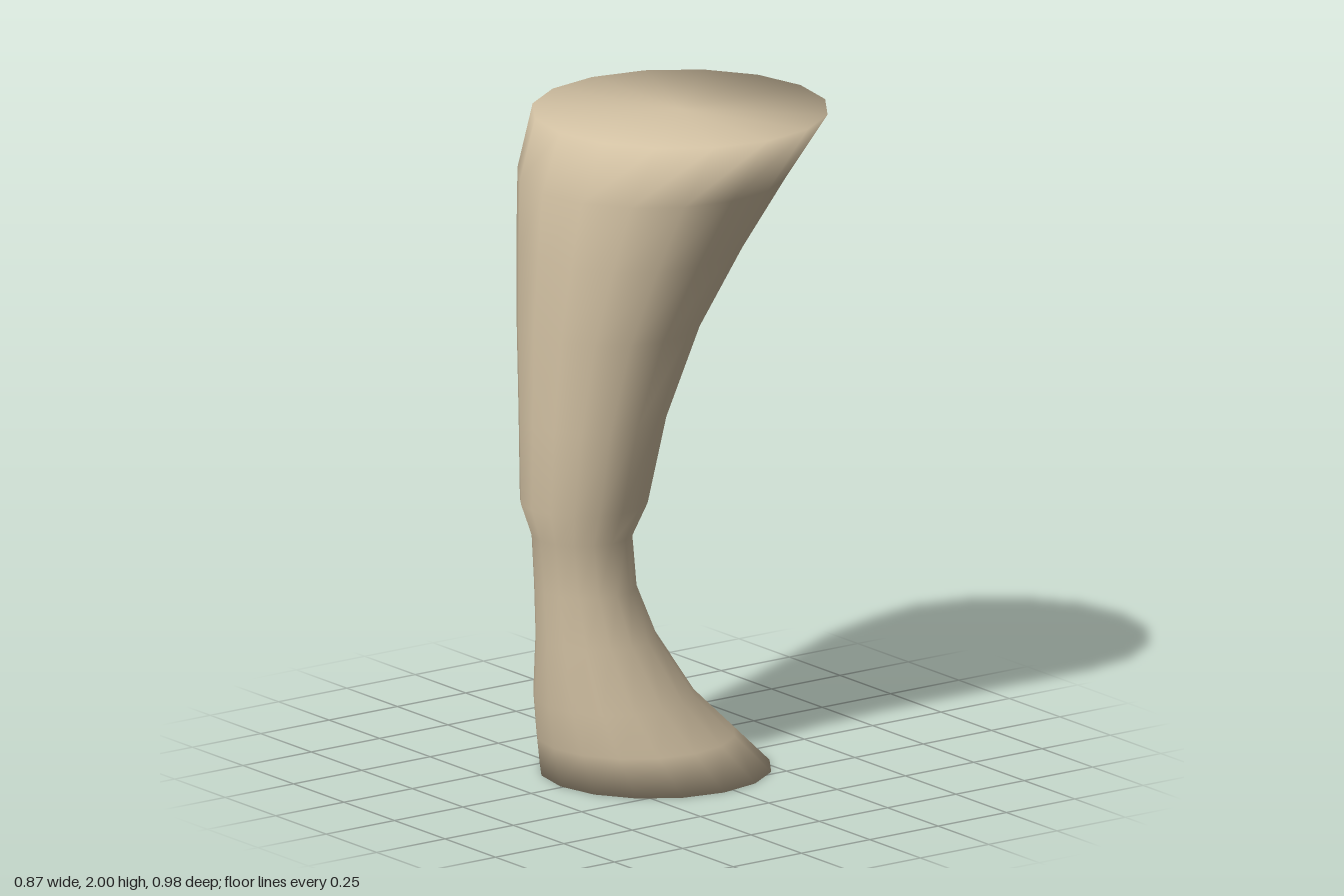
import * as THREE from 'three';

// Cross-sections: height, left x, right x, front z, back z
const SECTIONS = [
  [0.00, 0.33, -0.35, 0.385, -0.31],
  [0.12, 0.285, -0.30, 0.41, -0.185],
  [0.25, 0.235, -0.25, 0.43, -0.05],
  [0.44, 0.17, -0.19, 0.435, 0.075],
  [0.60, 0.148, -0.165, 0.445, 0.145],
  [0.76, 0.138, -0.16, 0.457, 0.155],
  [0.86, 0.18, -0.20, 0.49, 0.11],
  [1.12, 0.212, -0.23, 0.488, 0.05],
  [1.39, 0.265, -0.28, 0.485, -0.06],
  [1.62, 0.33, -0.345, 0.47, -0.20],
  [1.82, 0.385, -0.41, 0.45, -0.35],
  [2.00, 0.435, -0.437, 0.395, -0.487],
];
const SIDES = 16;

// Loft of oval rings, closed by fans that share the rim vertices
function loft(sections) {
  const positions = [];
  const index = [];
  const middle = ([, left, right, front, back]) => [(left + right) / 2, (front + back) / 2];

  for (const section of sections) {
    const [y, left, right, front, back] = section;
    const [cx, cz] = middle(section);
    for (let i = 0; i < SIDES; i++) {
      const a = (i / SIDES) * Math.PI * 2;
      positions.push(
        cx + Math.sin(a) * (left - right) / 2,
        y,
        cz + Math.cos(a) * (front - back) / 2,
      );
    }
  }

  // Side walls
  for (let r = 0; r < sections.length - 1; r++) {
    for (let i = 0; i < SIDES; i++) {
      const a = r * SIDES + i;
      const b = r * SIDES + (i + 1) % SIDES;
      index.push(a, b, b + SIDES, a, b + SIDES, a + SIDES);
    }
  }

  // Flat ends
  const addCap = (r, up) => {
    const centre = positions.length / 3;
    const [cx, cz] = middle(sections[r]);
    positions.push(cx, sections[r][0], cz);
    for (let i = 0; i < SIDES; i++) {
      const a = r * SIDES + i;
      const b = r * SIDES + (i + 1) % SIDES;
      if (up) index.push(centre, a, b);
      else index.push(centre, b, a);
    }
  };
  addCap(0, false);
  addCap(sections.length - 1, true);

  const geometry = new THREE.BufferGeometry();
  geometry.setAttribute('position', new THREE.Float32BufferAttribute(positions, 3));
  geometry.setIndex(index);
  geometry.computeVertexNormals();
  return geometry;
}

export function createModel() {
  const group = new THREE.Group();
  group.name = 'curvedPedestal';

  // One continuous flared column with a narrow waist
  const column = new THREE.Mesh(
    loft(SECTIONS),
    new THREE.MeshStandardMaterial({ color: 0xd2c1a3 }),
  );
  column.name = 'flaredColumn';
  group.add(column);

  return group;
}
